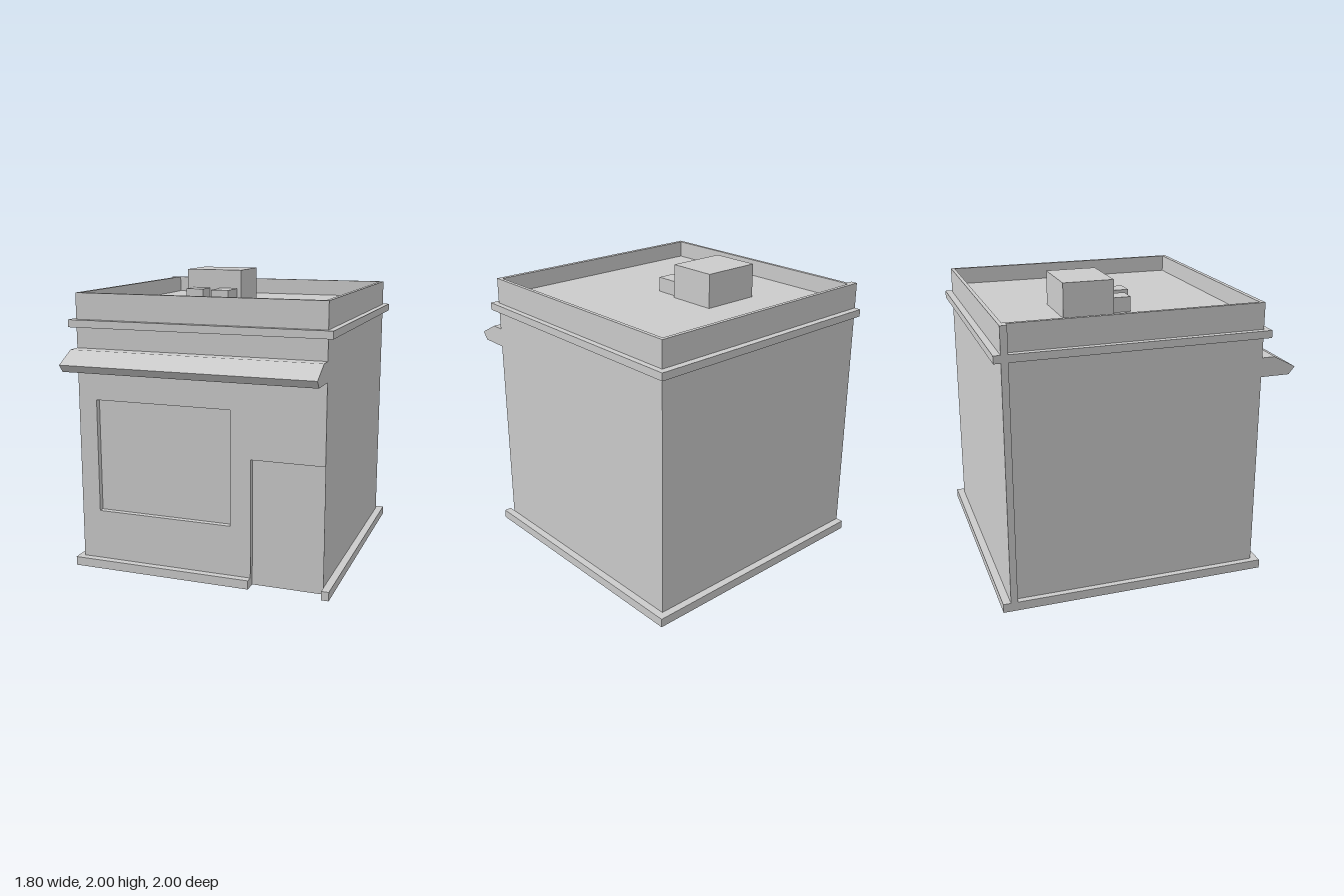
import * as THREE from 'three';

const solid = new THREE.MeshStandardMaterial({ color: 0xcccccc, flatShading: true });
const thin = new THREE.MeshStandardMaterial({ color: 0xcccccc, flatShading: true, side: THREE.DoubleSide });

// Wall outline and main heights
const L = -0.86, R = 0.85, BACK = -0.95, FRONT = 0.76;
const ROOF = 1.77, TOP = 1.885;

export function createModel() {
  const model = new THREE.Group();

  const add = (name, geometry, material = solid) => {
    const mesh = new THREE.Mesh(geometry, material);
    mesh.name = name;
    model.add(mesh);
    return mesh;
  };
  const box = (name, x0, x1, y0, y1, z0, z1) =>
    add(name, new THREE.BoxGeometry(x1 - x0, y1 - y0, z1 - z0))
      .position.set((x0 + x1) / 2, (y0 + y1) / 2, (z0 + z1) / 2);
  const panel = (name, w, h, x, y, z, rx = 0, ry = 0) => {
    const mesh = add(name, new THREE.PlaneGeometry(w, h), thin);
    mesh.position.set(x, y, z);
    mesh.rotation.set(rx, ry, 0);
  };
  const rect = (x0, x1, y0, y1) =>
    [[x0, y0], [x1, y0], [x1, y1], [x0, y1]].map(p => new THREE.Vector2(...p));
  // Plan shape in (x, -z), raised from y0 to y1
  const slab = (name, shape, y0, y1) => {
    const g = new THREE.ExtrudeGeometry(shape, { depth: y1 - y0, bevelEnabled: false });
    add(name, g.rotateX(-Math.PI / 2).translate(0, y0, 0));
  };
  const ring = (name, outer, inner, y0, y1) => {
    const shape = new THREE.Shape(outer);
    shape.holes.push(new THREE.Path(inner));
    slab(name, shape, y0, y1);
  };

  // Hollow shell: side and back walls, roof deck
  const w = R - L, d = FRONT - BACK, cx = (L + R) / 2, cz = (BACK + FRONT) / 2;
  panel('leftWall', d, ROOF, R, ROOF / 2, cz, 0, Math.PI / 2);
  panel('rightWall', d, ROOF, L, ROOF / 2, cz, 0, -Math.PI / 2);
  panel('backWall', w, ROOF, cx, ROOF / 2, BACK, 0, Math.PI);
  panel('roofDeck', w, d, cx, ROOF, cz, -Math.PI / 2);

  // Front wall with a window opening and a doorway at the corner
  const win = { x0: -0.73, x1: 0.22, y0: 0.4, y1: 1.175 };
  const door = { x0: 0.36, x1: R, y0: 0, y1: 0.86 };
  const wall = new THREE.Shape([[L, 0], [door.x0, 0], [door.x0, door.y1], [R, door.y1], [R, ROOF], [L, ROOF]]
    .map(p => new THREE.Vector2(...p)));
  wall.holes.push(new THREE.Path(rect(win.x0, win.x1, win.y0, win.y1)));
  add('frontWall', new THREE.ShapeGeometry(wall).translate(0, 0, FRONT), thin);

  // Recessed window and door panels with their reveals
  const depth = 0.04;
  const recess = (name, { x0, x1, y0, y1 }) => {
    const mx = (x0 + x1) / 2, my = (y0 + y1) / 2, mz = FRONT - depth / 2;
    panel(name + 'Panel', x1 - x0, y1 - y0, mx, my, FRONT - depth);
    panel(name + 'Jamb', depth, y1 - y0, x0, my, mz, 0, Math.PI / 2);
    if (x1 < R) panel(name + 'Jamb', depth, y1 - y0, x1, my, mz, 0, -Math.PI / 2);
    panel(name + 'Head', x1 - x0, depth, mx, y1, mz, Math.PI / 2);
    if (y0 > 0) panel(name + 'Sill', x1 - x0, depth, mx, y0, mz, -Math.PI / 2);
  };
  recess('window', win);
  recess('door', door);

  // Parapet and cornice around the top
  const outline = rect(L, R, -FRONT, -BACK);
  ring('parapet', outline, rect(-0.835, 0.825, -0.73, 0.925), ROOF, TOP);
  ring('cornice', rect(-0.9, 0.89, -0.8, 0.995), outline, 1.66, 1.71);

  // Plinth, interrupted at the doorway
  const plinth = [[0.36, FRONT], [0.36, 0.81], [-0.9, 0.81], [-0.9, -1], [0.9, -1], [0.9, 0.81],
    [R, 0.81], [R, BACK], [L, BACK], [L, FRONT]];
  slab('plinth', new THREE.Shape(plinth.map(([x, z]) => new THREE.Vector2(x, -z))), 0, 0.06);

  // Upright strip on the back corner
  box('cornerStrip', -0.9, L, 0, TOP, BACK, -0.905);

  // Awning: side profile in (z, y), swept across the front
  const profile = [[FRONT, 1.39], [0.96, 1.39], [1, 1.44], [0.85, 1.52], [FRONT, 1.52]]
    .map(([z, y]) => new THREE.Vector2(-z, y));
  const awning = new THREE.ExtrudeGeometry(new THREE.Shape(profile), { depth: w, bevelEnabled: false });
  add('awning', awning.rotateY(Math.PI / 2).translate(L, 0, 0));

  // Rooftop units
  box('roofUnit', -0.42, -0.01, ROOF, 2, -0.44, -0.1);
  box('smallVent', -0.38, -0.25, ROOF, 1.87, -0.1, 0.03);
  box('smallVent', -0.17, -0.04, ROOF, 1.87, -0.1, 0.085);

  return model;
}
